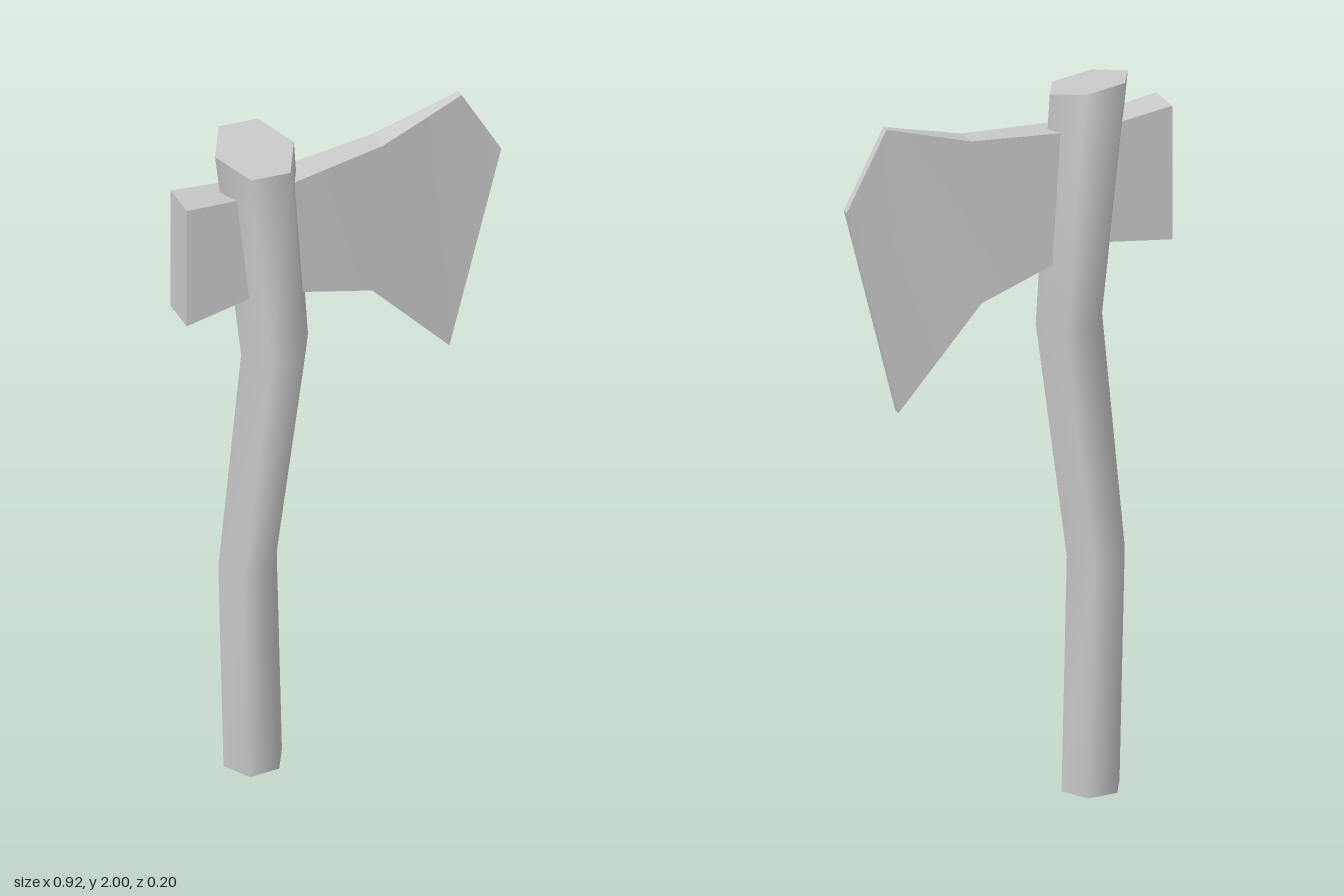
import * as THREE from 'three';
import { toCreasedNormals } from 'three/addons/utils/BufferGeometryUtils.js';

// Skin a list of equal-length rings and cap both ends, skipping zero-area triangles
function loft(rings, crease) {
  const n = rings[0].length, pos = [];
  const tri = (a, b, c) => {
    if (new THREE.Triangle(a, b, c).getArea() > 1e-6) {
      for (const p of [a, b, c]) pos.push(p.x, p.y, p.z);
    }
  };
  for (let i = 0; i < rings.length - 1; i++) {
    const r = rings[i], s = rings[i + 1];
    for (let j = 0; j < n; j++) {
      const k = (j + 1) % n;
      tri(r[j], r[k], s[k]);
      tri(r[j], s[k], s[j]);
    }
  }
  const first = rings[0], last = rings[rings.length - 1];
  for (let j = 1; j < n - 1; j++) {
    tri(first[0], first[j + 1], first[j]);
    tri(last[0], last[j], last[j + 1]);
  }
  const geo = new THREE.BufferGeometry();
  geo.setAttribute('position', new THREE.Float32BufferAttribute(pos, 3));
  return toCreasedNormals(geo, crease);
}

export function createModel() {
  const group = new THREE.Group();
  const grey = new THREE.MeshStandardMaterial({ color: 0xcccccc });
  const add = (name, geo) => {
    const mesh = new THREE.Mesh(geo, grey);
    mesh.name = name;
    group.add(mesh);
  };

  // Bent six-sided handle: centre x, height, radius in x, half depth in z, tilt in x and z
  const handleRings = [
    [-0.247, 0, 0.083, 0.071, 0, 0],
    [-0.262, 0.655, 0.083, 0.073, 0.03, 0],
    [-0.185, 1.325, 0.095, 0.083, 0.03, 0],
    [-0.242, 1.976, 0.112, 0.098, -0.11, -0.2],
  ].map(([cx, y, rx, rz, tx, tz]) => Array.from({ length: 6 }, (_, i) => {
    const a = (i * Math.PI) / 3;
    const dx = rx * Math.cos(a), z = -rz * Math.sin(a) / Math.sin(Math.PI / 3);
    return new THREE.Vector3(cx + dx, y + tx * dx + tz * z, z);
  }));
  add('handle', loft(handleRings, 1.2));

  // Axe head from poll to cutting edge: top x, y, bottom x, y, centre z, half thickness
  const headRings = [
    [-0.46, 1.885, -0.46, 1.51, 0.005, 0.048],
    [-0.24, 1.857, -0.24, 1.541, 0.004, 0.041],
    [0.11, 1.89, 0.08, 1.43, -0.002, 0.029],
    [0.345, 1.962, 0.31, 1.16, -0.005, 0.01],
    [0.458, 1.75, 0.458, 1.75, -0.005, 0.009],
  ].map(([tx, ty, bx, by, z, h]) => [
    new THREE.Vector3(tx, ty, z - h),
    new THREE.Vector3(tx, ty, z + h),
    new THREE.Vector3(bx, by, z + h),
    new THREE.Vector3(bx, by, z - h),
  ]);
  add('axeHead', loft(headRings, 0.1));

  return group;
}
